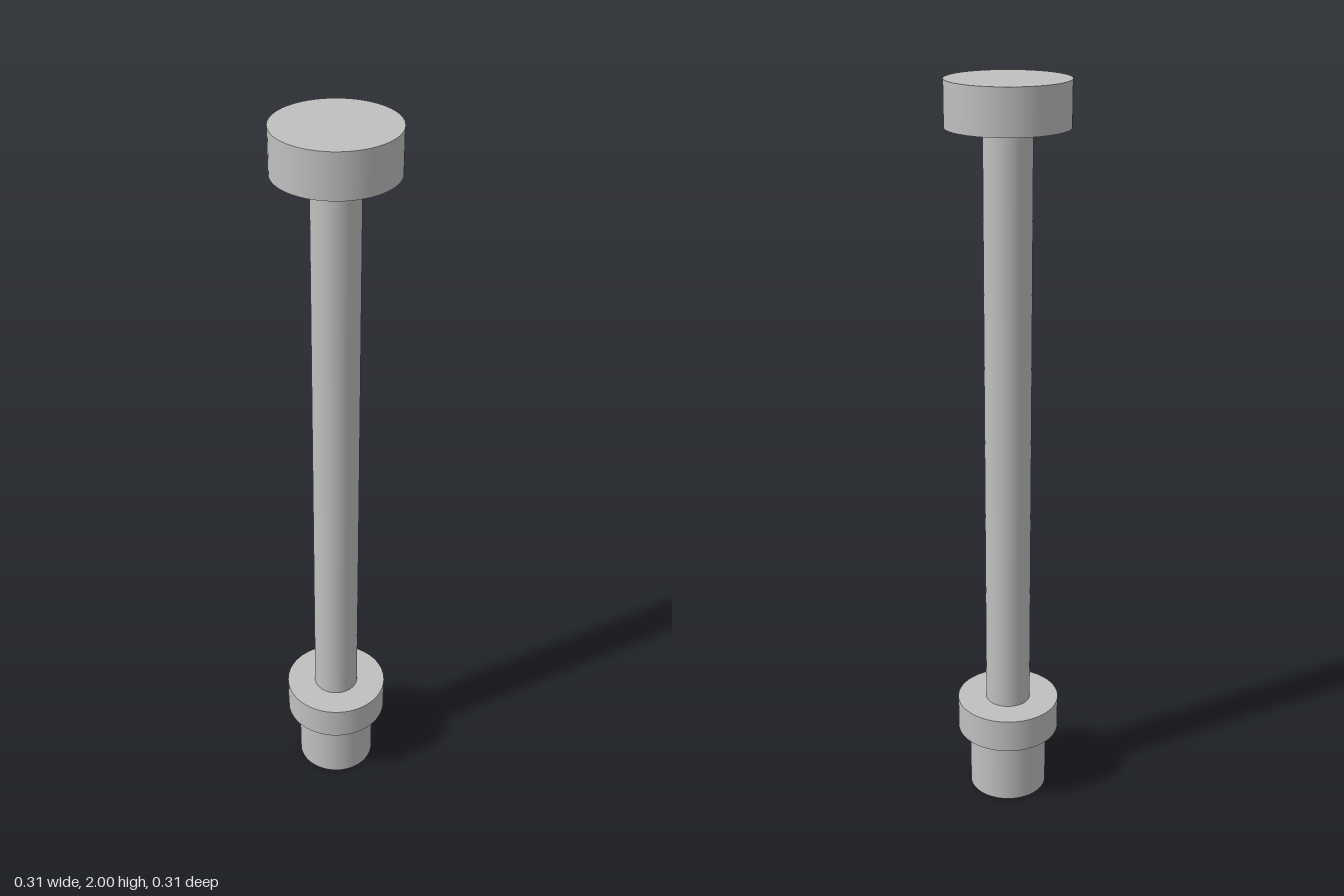
import * as THREE from 'three';

export function createModel() {
  const group = new THREE.Group();
  const steel = new THREE.MeshStandardMaterial({ color: 0xc0c0c0 });
  steel.name = 'steel grey';

  // Upright round part between two heights
  const addRound = (name, radius, bottom, top) => {
    const mesh = new THREE.Mesh(
      new THREE.CylinderGeometry(radius, radius, top - bottom, 64), steel);
    mesh.name = name;
    mesh.position.y = (bottom + top) / 2;
    group.add(mesh);
  };

  addRound('basePlug', 0.108, 0, 0.185);
  addRound('collar', 0.142, 0.185, 0.28);
  addRound('shaft', 0.062, 0.28, 1.884);
  addRound('head', 0.157, 1.884, 2);

  return group;
}
